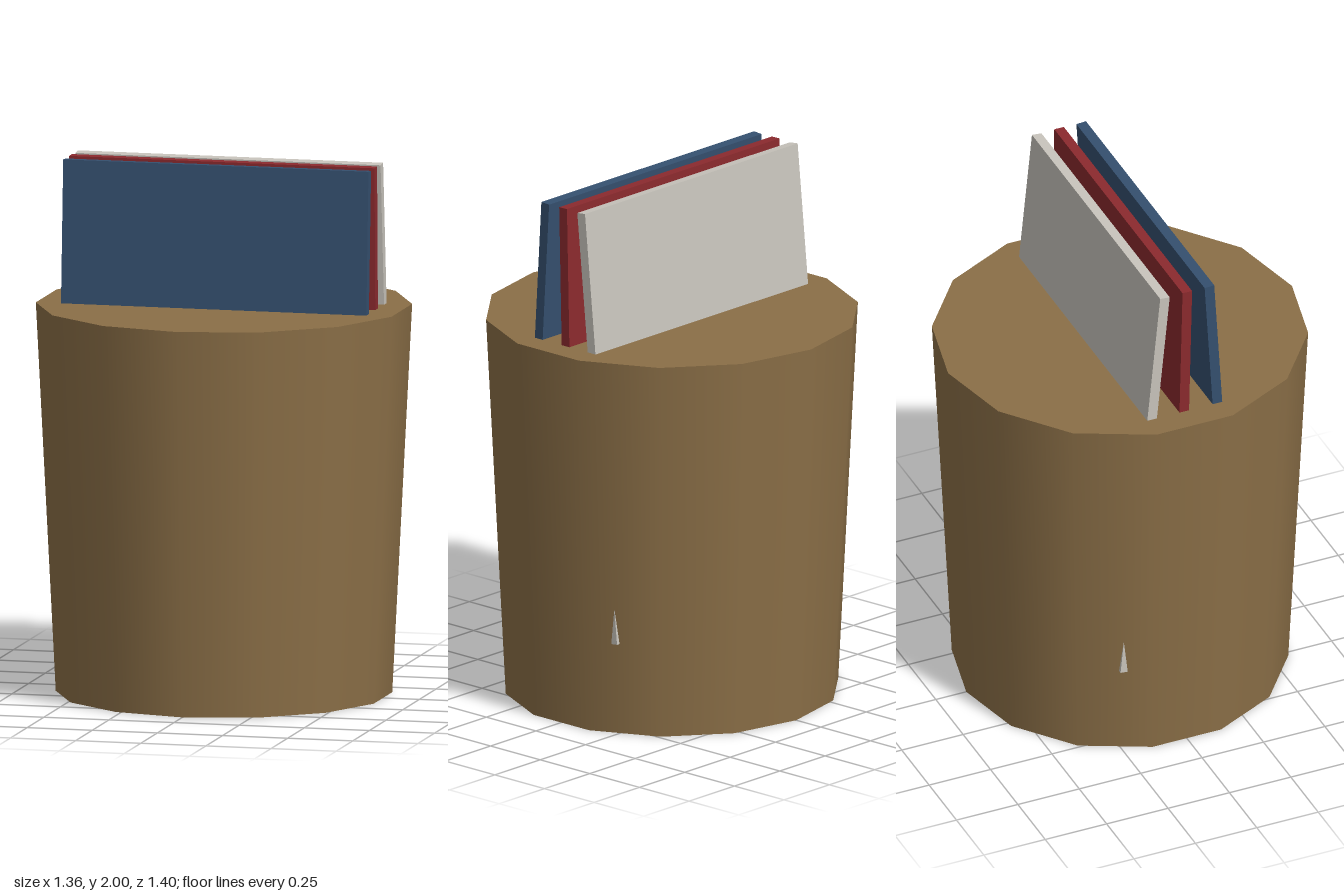
import * as THREE from 'three';

const paint = (name, color) => {
  const material = new THREE.MeshStandardMaterial({ color });
  material.name = name;
  return material;
};

export function createModel() {
  const group = new THREE.Group();
  group.name = 'binOfPanels';

  // Tapered, closed fourteen-sided bin
  const height = 1.463;
  const bin = new THREE.Mesh(
    new THREE.CylinderGeometry(0.7, 0.626, height, 14),
    paint('tan brown', 0x8b6f47)
  );
  bin.name = 'bin';
  bin.position.y = height / 2;
  group.add(bin);

  // Upright panels: z of the top edge's centre, and z gained per unit of height
  const length = 1.655;
  const thickness = 0.039;
  const panels = [
    ['frontPanel', paint('navy blue', 0x35506f), 0.103, -0.061],
    ['middlePanel', paint('dark red', 0x8b2a2e), 0.013, 0.023],
    ['backPanel', paint('pale grey', 0xc8c4bc), -0.078, 0.098],
  ];
  for (const [name, material, topZ, slope] of panels) {
    const tilt = Math.atan(slope);
    const geometry = new THREE.BoxGeometry(1.172, length, thickness);
    geometry.translate(0, -length / 2, 0); // pivot on the top edge
    const panel = new THREE.Mesh(geometry, material);
    panel.name = name;
    panel.rotation.x = tilt;
    panel.position.set(0, 2 - Math.abs(Math.sin(tilt)) * thickness / 2, topZ);
    group.add(panel);
  }

  return group;
}
